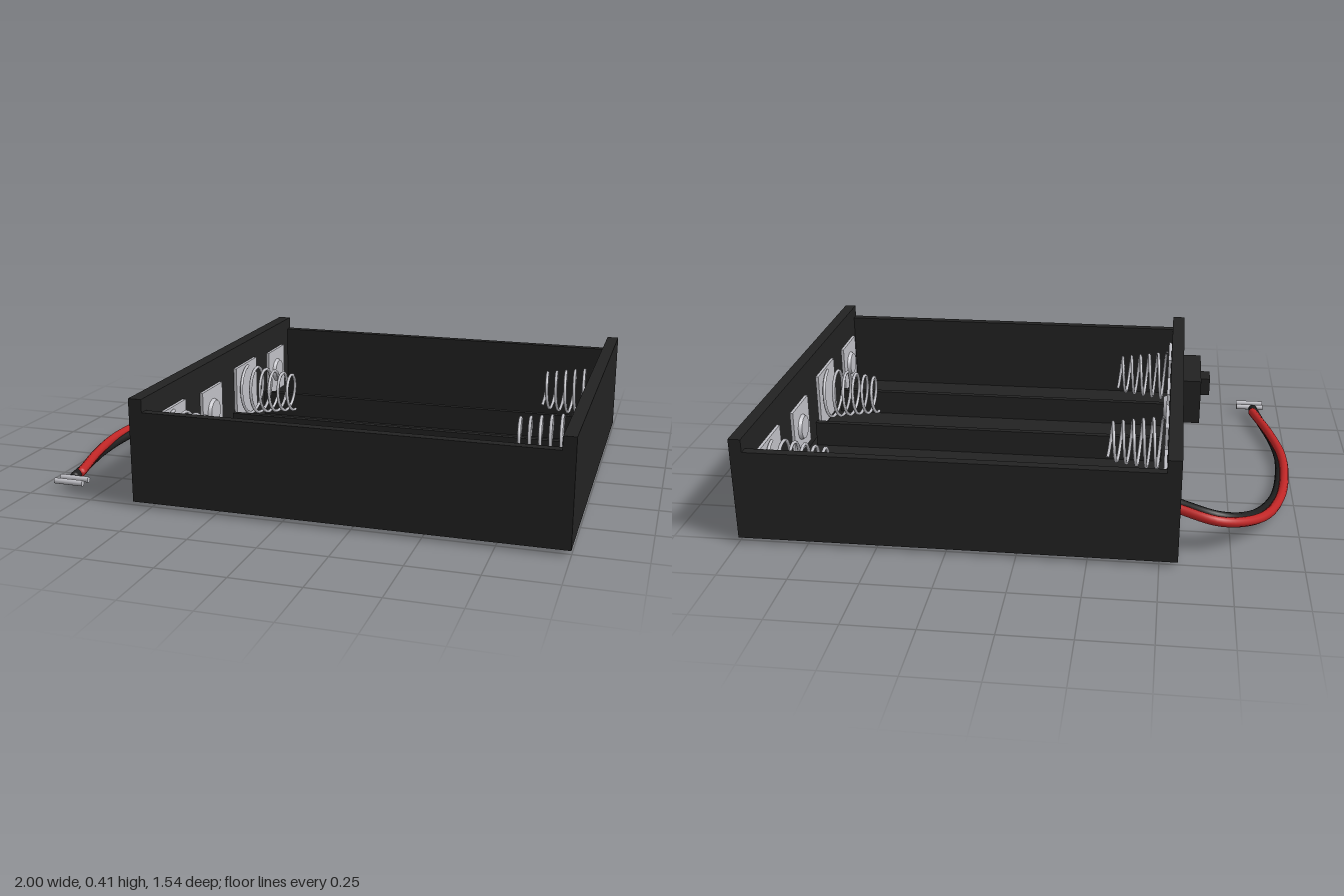
import * as THREE from 'three';

const material = (name, color) => {
  const m = new THREE.MeshStandardMaterial({ color });
  m.name = name;
  return m;
};

export function createModel() {
  const black = material('black plastic', 0x222222);
  const wireBlack = material('black wire', 0x1e1e1e);
  const red = material('red wire', 0xc02626);
  const metal = material('bright metal', 0xc0c0c6);
  const model = new THREE.Group();
  model.name = 'batteryHolder';

  const add = (name, geometry, mat, parent = model) => {
    const mesh = new THREE.Mesh(geometry, mat);
    mesh.name = name;
    parent.add(mesh);
    return mesh;
  };
  // Box given by its lower and upper limits on each axis
  const box = (name, x0, x1, y0, y1, z0, z1, mat = black, parent = model) => {
    const mesh = add(name, new THREE.BoxGeometry(x1 - x0, y1 - y0, z1 - z0), mat, parent);
    mesh.position.set((x0 + x1) / 2, (y0 + y1) / 2, (z0 + z1) / 2);
    return mesh;
  };

  // Open tray
  box('floor', -0.515, 0.955, 0.02, 0.05, -0.735, 0.735);
  box('rightEndWall', -0.565, -0.515, 0.02, 0.405, -0.77, 0.77);
  box('leftEndWall', 0.955, 1, 0.02, 0.405, -0.77, 0.77);
  box('frontWall', -0.515, 0.955, 0.02, 0.357, 0.735, 0.77);
  box('backWall', -0.515, 0.955, 0.02, 0.357, -0.77, -0.735);
  for (const z of [-0.37, -0.005, 0.362]) box('cellDivider', -0.49, 0.93, 0.05, 0.15, z - 0.012, z + 0.012);

  // Tapered coil along +x with a closed turn at each end
  const turns = 5.5;
  const coil = [];
  for (let i = 0; i <= 110; i++) {
    const t = i / 110;
    const a = t * turns * Math.PI * 2;
    const r = 0.102 - 0.03 * t;
    coil.push(new THREE.Vector3(0.012 + 0.213 * t, Math.cos(a) * r, Math.sin(a) * r));
  }
  const coilGeometry = new THREE.TubeGeometry(new THREE.CatmullRomCurve3(coil), 220, 0.0065, 6);

  // Contacts: local +x points into the tray
  const springContact = () => {
    const g = new THREE.Group();
    g.name = 'springContact';
    box('springPlate', -0.006, 0.006, -0.115, 0.115, -0.115, 0.115, metal, g);
    add('spring', coilGeometry, metal, g);
    return g;
  };
  const flatContact = () => {
    const g = new THREE.Group();
    g.name = 'flatContact';
    box('contactPlate', -0.006, 0.006, -0.097, 0.097, -0.097, 0.097, metal, g);
    const button = add('contactButton', new THREE.CylinderGeometry(0.045, 0.052, 0.014, 24), metal, g);
    button.rotation.z = -Math.PI / 2;
    button.position.x = 0.012;
    return g;
  };
  [-0.552, -0.187, 0.178, 0.545].forEach((z, i) => {
    const right = i % 2 ? springContact() : flatContact();
    const left = i % 2 ? flatContact() : springContact();
    right.position.set(-0.508, 0.205, z);
    left.position.set(0.936, 0.205, z);
    left.rotation.y = Math.PI;
    model.add(right, left);
  });

  // Slide switch on the end wall
  box('switchBody', -0.64, -0.56, 0.12, 0.305, 0.23, 0.55);
  box('switchSlider', -0.68, -0.635, 0.19, 0.262, 0.375, 0.47);

  // Leads, crossing halfway along
  const wire = (name, points, mat) => {
    const path = new THREE.CatmullRomCurve3(points.map(p => new THREE.Vector3(...p)));
    add(name, new THREE.TubeGeometry(path, 80, 0.018, 10), mat);
    const ends = [points[0], points[points.length - 1]];
    for (const p of ends) add(name + 'End', new THREE.SphereGeometry(0.018, 10, 8), mat).position.set(...p);
  };
  wire('redWire', [
    [-0.55, 0.15, -0.612], [-0.7, 0.125, -0.648], [-0.85, 0.072, -0.51], [-0.948, 0.035, -0.25],
    [-0.98, 0.036, 0.08], [-0.947, 0.04, 0.31], [-0.883, 0.038, 0.575],
  ], red);
  wire('blackWire', [
    [-0.55, 0.15, -0.57], [-0.7, 0.122, -0.602], [-0.825, 0.068, -0.48], [-0.927, 0.022, -0.23],
    [-0.967, 0.019, 0.06], [-0.958, 0.02, 0.27], [-0.91, 0.03, 0.5], [-0.886, 0.035, 0.62],
  ], wireBlack);

  // Bare terminal pins at the free end
  for (const z of [0.641, 0.686]) {
    const pin = add('terminalPin', new THREE.CylinderGeometry(0.011, 0.011, 0.116, 14), metal);
    pin.rotation.z = Math.PI / 2;
    pin.position.set(-0.873, 0.035, z);
  }
  return model;
}
